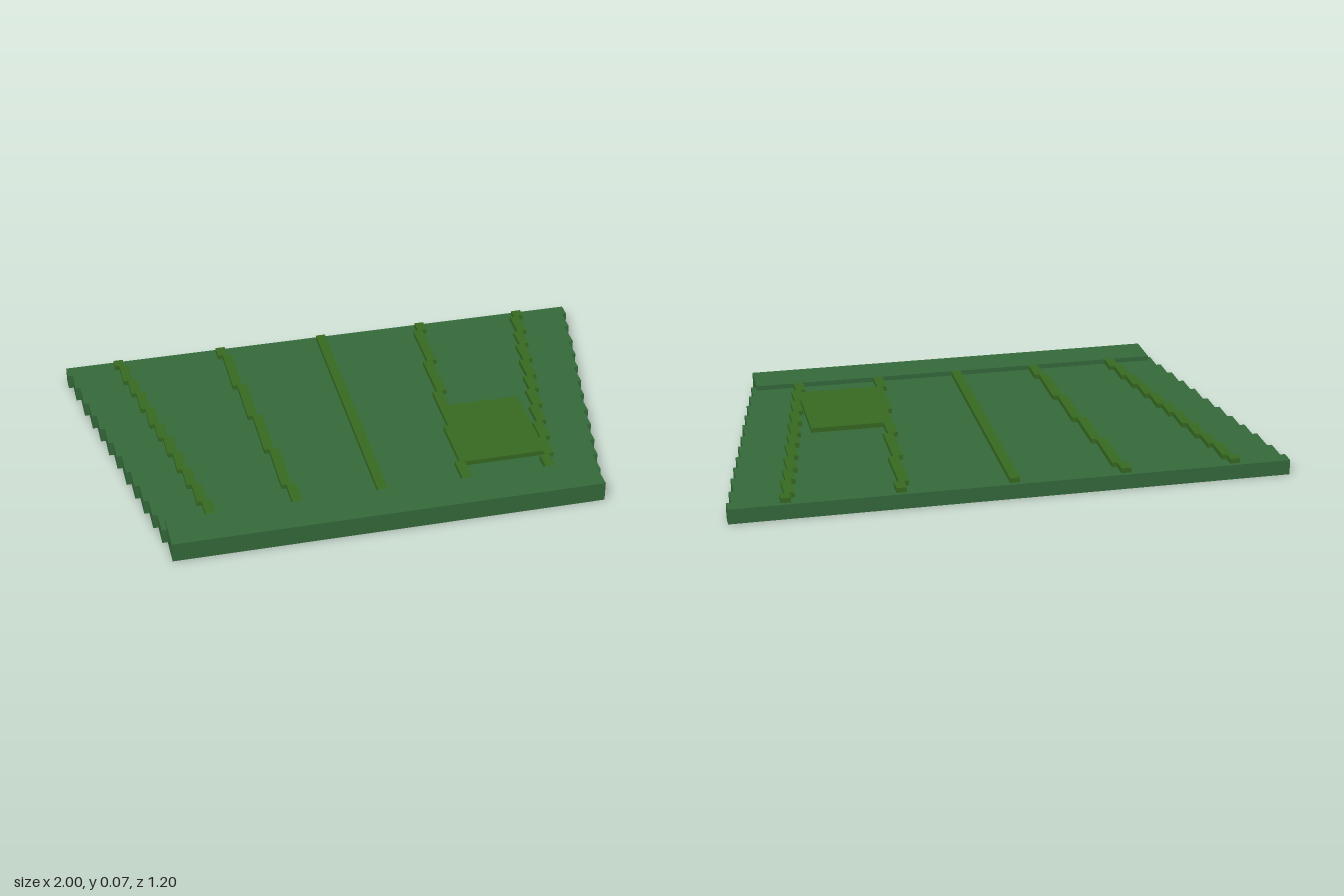
import * as THREE from 'three';

const DECK = 0.055, TOP = 0.073;

export function createModel() {
  const model = new THREE.Group();
  const deckGreen = new THREE.MeshStandardMaterial({ color: 0x356b3c });
  deckGreen.name = 'deck green';
  const ribGreen = new THREE.MeshStandardMaterial({ color: 0x386b22 });
  ribGreen.name = 'rib green';

  // Extrudes a plan outline of [x, z] points upward from y0 to y1
  function slab(name, points, y0, y1, material) {
    const shape = new THREE.Shape(points.map(([x, z]) => new THREE.Vector2(x, -z)));
    const geometry = new THREE.ExtrudeGeometry(shape, { depth: y1 - y0, bevelEnabled: false });
    geometry.rotateX(-Math.PI / 2).translate(0, y0, 0);
    const mesh = new THREE.Mesh(geometry, material);
    mesh.name = name;
    model.add(mesh);
  }

  // Stepped line down one side: x moves by dx at each z break
  function steps(x, dx, breaks) {
    const points = [[x, breaks[0]]];
    for (let i = 1; i < breaks.length; i++) {
      points.push([x, breaks[i]]);
      if (i < breaks.length - 1) points.push([x += dx, breaks[i]]);
    }
    return points;
  }

  const rect = (x0, x1, z0, z1) => [[x0, z1], [x1, z1], [x1, z0], [x0, z0]];

  // Tapering deck with stepped sides
  const deckBreaks = [-0.6, -0.545, -0.455, -0.345, -0.255, -0.165, -0.07, 0.02,
    0.125, 0.215, 0.31, 0.4, 0.49];
  const rightEdge = steps(1, -0.0183, deckBreaks);
  const leftEdge = rightEdge.map(([x, z]) => [-x, z]).reverse();
  slab('deck', [...rightEdge, ...leftEdge], 0, DECK, deckGreen);

  // Thicker bar along the front
  slab('frontBar', rect(-0.78, 0.78, 0.455, 0.6), 0, TOP, deckGreen);

  // Raised ribs: one straight, two stepped pairs
  const half = 0.018;
  slab('centreRib', rect(-half, half, -0.585, 0.455), DECK, TOP, ribGreen);
  const outerBreaks = [-0.585, -0.545, -0.435, -0.345, -0.235, -0.125, -0.035,
    0.07, 0.175, 0.275, 0.38, 0.455];
  const innerBreaks = [-0.585, -0.53, -0.31, -0.1, 0.125, 0.35, 0.455];
  for (const side of [-1, 1]) {
    for (const [name, x, breaks] of [['outerRib', 0.8, outerBreaks], ['innerRib', 0.4, innerBreaks]]) {
      const line = steps(x, -0.018, breaks);
      const outline = [
        ...line.map(([px, z]) => [side * (px + half), z]),
        ...line.map(([px, z]) => [side * (px - half), z]).reverse(),
      ];
      slab(name, outline, DECK, TOP, ribGreen);
    }
  }

  // Hatch panel joining two ribs
  slab('hatch', rect(0.33, 0.632, 0, 0.36), DECK, TOP, ribGreen);

  return model;
}
